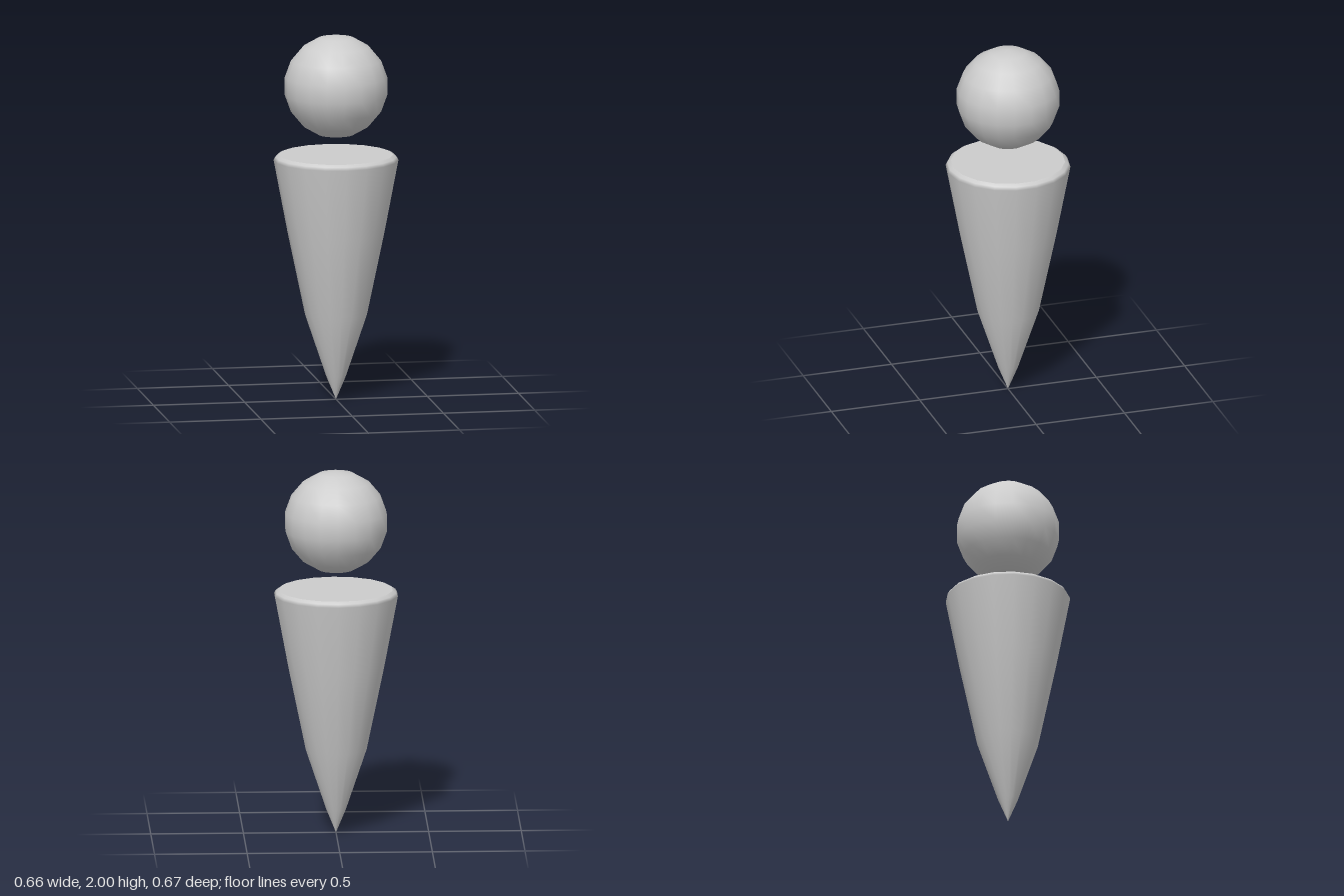
import * as THREE from 'three';

const SIDES = 18;

export function createModel() {
  const model = new THREE.Group();
  const material = new THREE.MeshStandardMaterial({ color: 0xcccccc });
  const add = (name, geometry, y = 0) => {
    const mesh = new THREE.Mesh(geometry, material);
    mesh.name = name;
    mesh.position.y = y;
    model.add(mesh);
  };

  // Tapered body: pointed foot, slightly bulging flanks, bevelled rim
  const profile = [
    [0, 0], [0.054, 0.13], [0.167, 0.465], [0.262, 0.92], [0.337, 1.315], [0.327, 1.332], [0.308, 1.344],
  ].map(([r, y]) => new THREE.Vector2(r, y));
  add('body', new THREE.LatheGeometry(profile, SIDES));

  // Flat shoulder disc closing the body
  add('bodyTop', new THREE.CircleGeometry(0.308, SIDES).rotateX(-Math.PI / 2).rotateY(Math.PI / 2), 1.344);

  // Floating head, its corners lined up with those of the body
  const headRadius = 0.281;
  add('head', new THREE.SphereGeometry(headRadius, SIDES, SIDES / 2).rotateY(Math.PI / 2), 2 - headRadius);

  return model;
}
